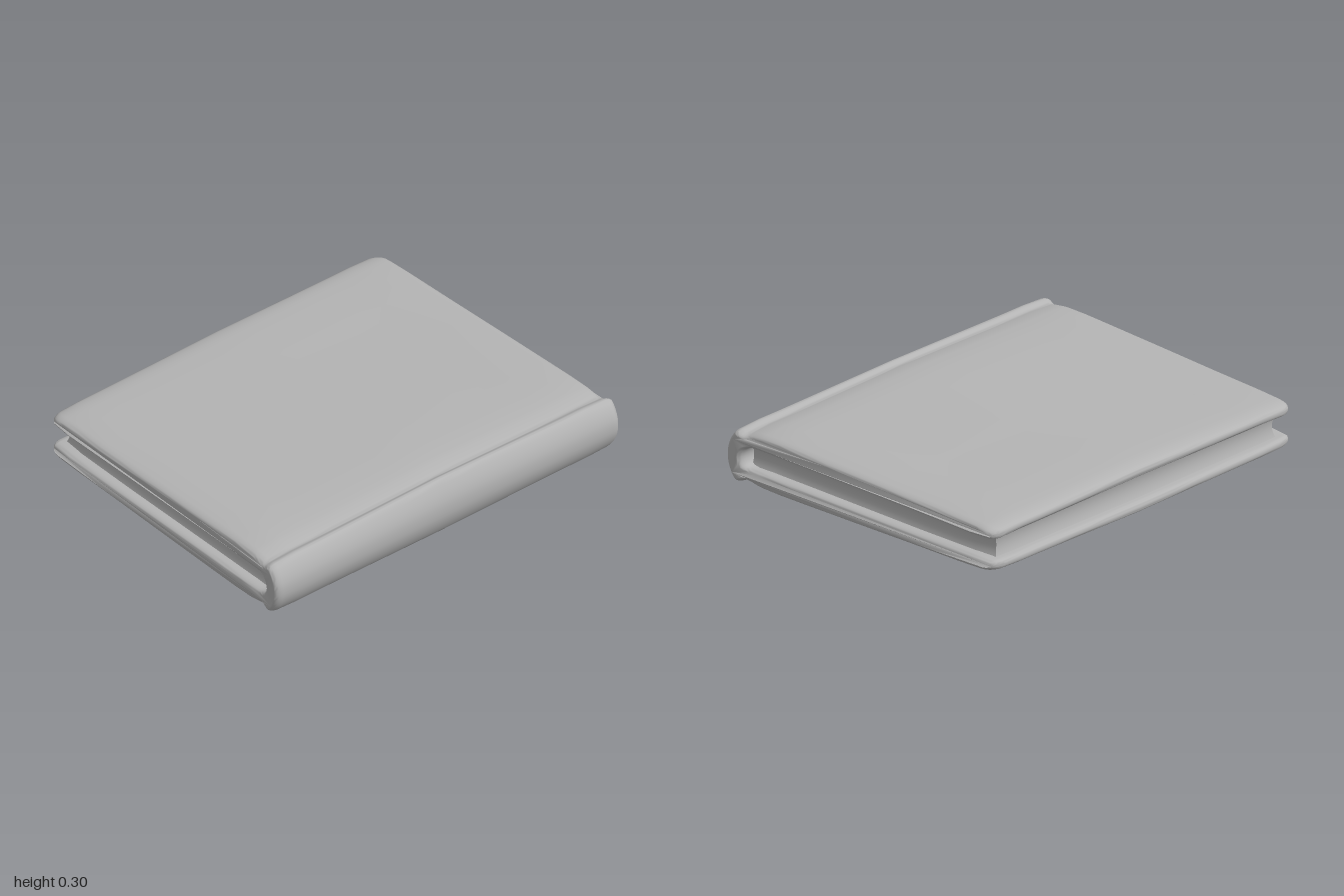
import * as THREE from 'three';
import { toCreasedNormals } from 'three/addons/utils/BufferGeometryUtils.js';

const MID = 0.15; // height of the book's middle plane
const lerp = THREE.MathUtils.lerp;
const smooth = THREE.MathUtils.smoothstep;

// Move every vertex by a rule, then rebuild the normals
function warp(geometry, rule, crease) {
  const pos = geometry.attributes.position;
  const v = new THREE.Vector3();
  for (let i = 0; i < pos.count; i++) {
    v.fromBufferAttribute(pos, i);
    rule(v);
    pos.setXYZ(i, v.x, v.y, v.z);
  }
  return toCreasedNormals(geometry, crease);
}

// Boards are narrower than the spine and taper toward the fore edge
function taper(v) {
  const t = THREE.MathUtils.clamp((0.7 - v.z) / 1.5, 0, 1);
  const board = v.x > 0 ? lerp(0.978, 0.943, t) : lerp(0.99, 0.975, t);
  v.x *= lerp(board, 1, smooth(v.z, 0.67, 0.73));
}

// Wrap-around cover: one C-shaped section swept across the width
function coverGeometry() {
  const half = [ // [z, y] of the upper half, spine to fore edge and back inside
    [0.795, 0.05], [0.775, 0.105], [0.748, 0.141], [0.728, 0.143], [0.7, 0.13], [0.67, 0.137],
    [0.6, 0.149], [0.2, 0.146], [-0.3, 0.135], [-0.7, 0.126], [-0.76, 0.118], [-0.795, 0.104],
    [-0.8, 0.085], [-0.793, 0.067], [-0.77, 0.06], [-0.3, 0.06], [0.3, 0.06], [0.62, 0.06],
    [0.67, 0.057], [0.7, 0.045],
  ];
  const upper = half.map(([z, y]) => new THREE.Vector3(z, y, 0));
  const lower = half.map(([z, y]) => new THREE.Vector3(z, -y, 0)).reverse();
  const outline = [new THREE.Vector3(0.8, 0, 0), ...upper, new THREE.Vector3(0.715, 0, 0), ...lower];
  const points = new THREE.CatmullRomCurve3(outline, true).getPoints(outline.length * 3);
  points.pop();
  const shape = new THREE.Shape(points.map((p) => new THREE.Vector2(p.x, p.y)));

  const bevel = 0.04;
  const geometry = new THREE.ExtrudeGeometry(shape, {
    depth: 2 - 2 * bevel, steps: 16, bevelEnabled: true, bevelThickness: bevel,
    bevelSize: 0.02, bevelOffset: -0.02, bevelSegments: 5,
  });
  geometry.translate(0, 0, bevel - 1).rotateY(-Math.PI / 2);

  return warp(geometry, (v) => {
    const ax = Math.abs(v.x);
    // boards swell toward the middle and thin at the ends
    v.y *= 1 - 0.08 * Math.min(ax / 0.7, 1) - 0.07 * smooth(ax, 0.9, 1);
    // rounded fore-edge corners
    const r = 0.06;
    const d = Math.min(Math.max(-0.74 - v.z, 0) / r, 1);
    v.x *= 1 - r * (1 - Math.sqrt(1 - d * d));
    // spine dips slightly at its centre
    if (v.z > 0.7) v.z -= 0.012 * (1 - Math.min(ax, 1)) * smooth(v.z, 0.7, 0.78);
    taper(v);
  }, 0.9);
}

// Page block: a slab with hollowed edges, recessed inside the boards
function pagesGeometry() {
  const geometry = new THREE.BoxGeometry(1.9, 0.136, 1.46, 16, 10, 12);
  return warp(geometry, (v) => {
    const hollow = 1 - (v.y / 0.068) ** 2;
    v.x *= 1 - 0.022 * hollow;
    v.z -= 0.03;
    if (v.z < -0.7) v.z += 0.015 * hollow;
    // soften the fore-edge corners
    if (v.z < -0.7) v.x *= 0.985;
    taper(v);
  }, 0.7);
}

export function createModel() {
  const book = new THREE.Group();
  book.name = 'book';
  const grey = new THREE.MeshStandardMaterial({ color: 0xb4b4b4 });
  grey.name = 'plain grey';

  const add = (name, geometry) => {
    const mesh = new THREE.Mesh(geometry, grey);
    mesh.name = name;
    mesh.position.y = MID;
    book.add(mesh);
  };
  add('cover', coverGeometry());
  add('pages', pagesGeometry());
  return book;
}
